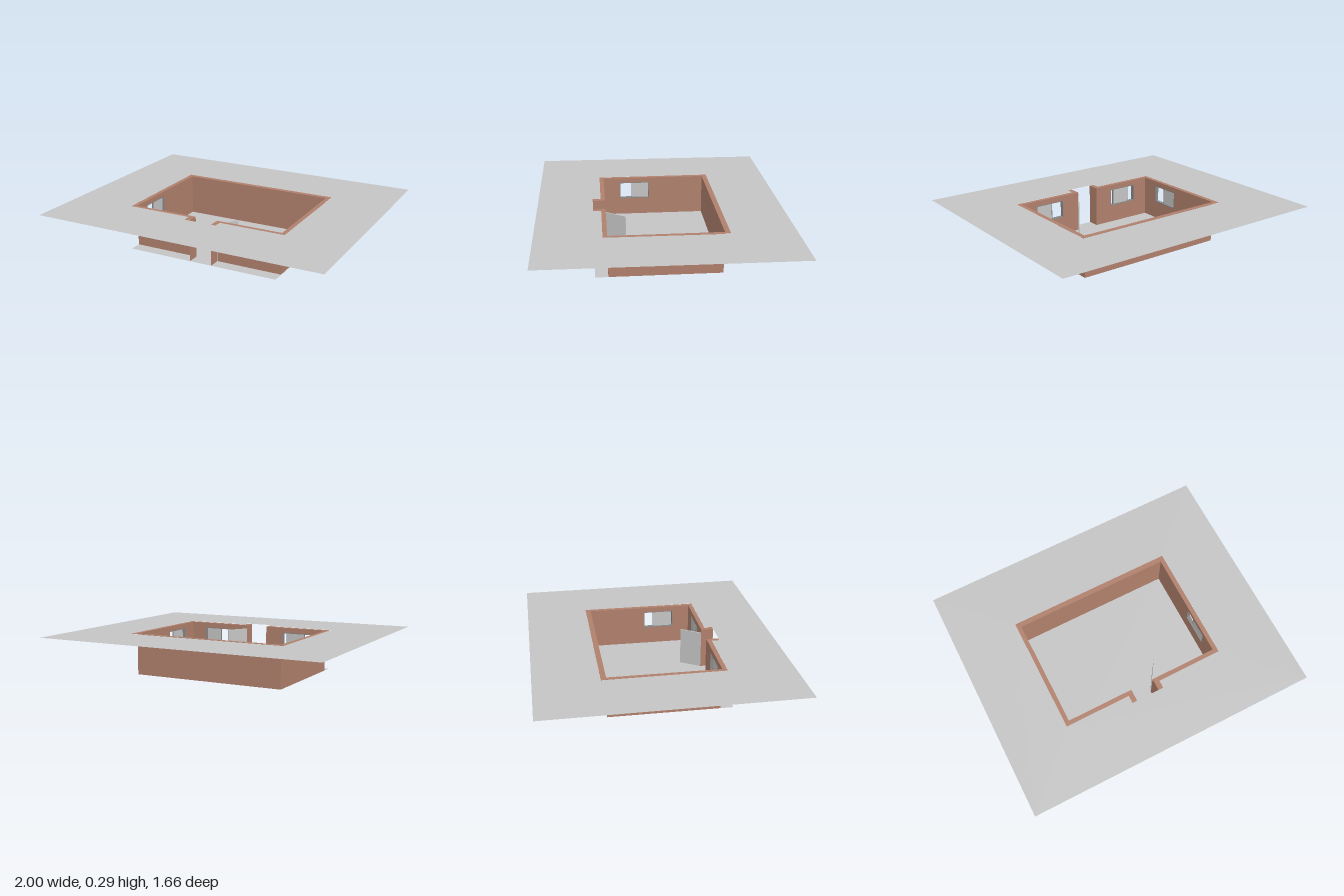
import * as THREE from 'three';

const mat = (name, color, side = THREE.DoubleSide) => {
  const m = new THREE.MeshStandardMaterial({ color, side });
  m.name = name;
  return m;
};

const H = 0.285;                       // wall height, also ground level
const X = 0.54, Z = 0.37, PORCH = 0.455, DOOR = 0.08;
const EDGE = 0.03;                     // coping width

export function createModel() {
  const model = new THREE.Group();
  model.name = 'sunkenRoom';
  const brick = mat('brick', 0xb0806c);
  const grey = mat('lightGrey', 0xc4c4c4);
  const frameGrey = mat('frameGrey', 0x888888);

  const add = (name, geo, material, parent = model) => {
    const mesh = new THREE.Mesh(geo, material);
    mesh.name = name;
    parent.add(mesh);
    return mesh;
  };
  // Closed outline from [x, z] pairs, with z flipped so it can be laid flat
  const outline = (pts) => pts.map(([x, z]) => new THREE.Vector2(x, -z));
  const flat = (shape) => new THREE.ShapeGeometry(shape).rotateX(-Math.PI / 2);

  // Room outline and the wider outline of the coping, open at the porch
  const inner = [[-DOOR, PORCH], [-DOOR, Z], [-X, Z], [-X, -Z], [X, -Z], [X, Z], [DOOR, Z], [DOOR, PORCH]];
  const ox = X + EDGE, oz = Z + EDGE, od = DOOR + 0.035;
  const outer = [[-od, PORCH], [-od, oz], [-ox, oz], [-ox, -oz - 0.005], [ox, -oz - 0.005], [ox, oz], [od, oz], [od, PORCH]];

  // Ground sheet with an opening, rising very slightly toward the front
  const groundShape = new THREE.Shape(outline([[-1, 0.83], [1, 0.83], [1, -0.83], [-1, -0.83]]));
  groundShape.holes.push(new THREE.Path(outline(outer)));
  const ground = add('ground', flat(groundShape), grey);
  ground.position.y = H;
  ground.rotation.x = -0.004;

  const coping = add('coping', flat(new THREE.Shape(outline([...outer, ...inner.slice().reverse()]))), brick);
  coping.position.y = H;

  add('floor', flat(new THREE.Shape(outline([[-X, PORCH], [X, PORCH], [X, -Z], [-X, -Z]]))), grey);

  // Wall sheet: length along local x, optional window hole centred at hx
  const W = 0.22, Y0 = 0.125, Y1 = 0.25;
  const wall = (name, length, x, z, angle, hx = null) => {
    const s = new THREE.Shape(outline([[-length / 2, 0], [length / 2, 0], [length / 2, -H], [-length / 2, -H]]));
    if (hx !== null) {
      const a = hx - W / 2, b = hx + W / 2;
      s.holes.push(new THREE.Path(outline([[a, -Y0], [a, -Y1], [b, -Y1], [b, -Y0]])));
    }
    const m = add(name, new THREE.ShapeGeometry(s), brick);
    m.position.set(x, 0, z);
    m.rotation.y = angle;
  };
  const frontLen = X - DOOR, frontMid = (X + DOOR) / 2, porchMid = (Z + PORCH) / 2;
  const WX = 0.32, WZ = 0.14;          // window centres
  wall('backWall', 2 * X, 0, -Z, Math.PI);
  wall('leftWall', 2 * Z, X, 0, Math.PI / 2, -WZ);
  wall('rightWall', 2 * Z, -X, 0, -Math.PI / 2, WZ);
  for (const s of [-1, 1]) {
    wall('frontWall', frontLen, s * frontMid, Z, 0, s * (WX - frontMid));
    wall('porchWall', PORCH - Z, s * DOOR, porchMid, s * Math.PI / 2);
  }

  // Projecting window box with a sliding pane between local a and b
  const addWindow = (x, z, angle, a, b) => {
    const g = new THREE.Group();
    g.name = 'window';
    g.position.set(x, (Y0 + Y1) / 2, z);
    g.rotation.y = angle;
    model.add(g);
    const h = Y1 - Y0, t = 0.005, depth = 0.027;
    const bar = (name, w, hh, d, px, py, pz) =>
      add(name, new THREE.BoxGeometry(w, hh, d), frameGrey, g).position.set(px, py, pz);
    for (const s of [-1, 1]) {
      bar('frameSide', t, h, depth, s * (W - t) / 2, 0, depth / 2);
      bar('frameRail', W, t, depth, 0, s * (h - t) / 2, depth / 2);
    }
    for (const px of [a, b]) bar('sashBar', 0.004, h - 2 * t, 0.008, px, 0, 0.014);
    add('pane', new THREE.BoxGeometry(b - a, h - 2 * t, 0.004), grey, g).position.set((a + b) / 2, 0, 0.014);
  };
  addWindow(WX, Z, 0, -0.02, 0.1);
  addWindow(-WX, Z, 0, -0.055, 0.08);
  addWindow(X, WZ, Math.PI / 2, -0.095, 0.04);
  addWindow(-X, WZ, -Math.PI / 2, -0.105, 0.02);

  // Door swung open into the room
  const dx = 0.085, dz = -0.13, len = Math.hypot(dx, dz);
  const door = add('door', new THREE.BoxGeometry(len, 0.26, 0.008).translate(len / 2, 0.131, 0), grey);
  door.position.set(DOOR, 0, Z);
  door.rotation.y = Math.atan2(-dz, dx);

  return model;
}
